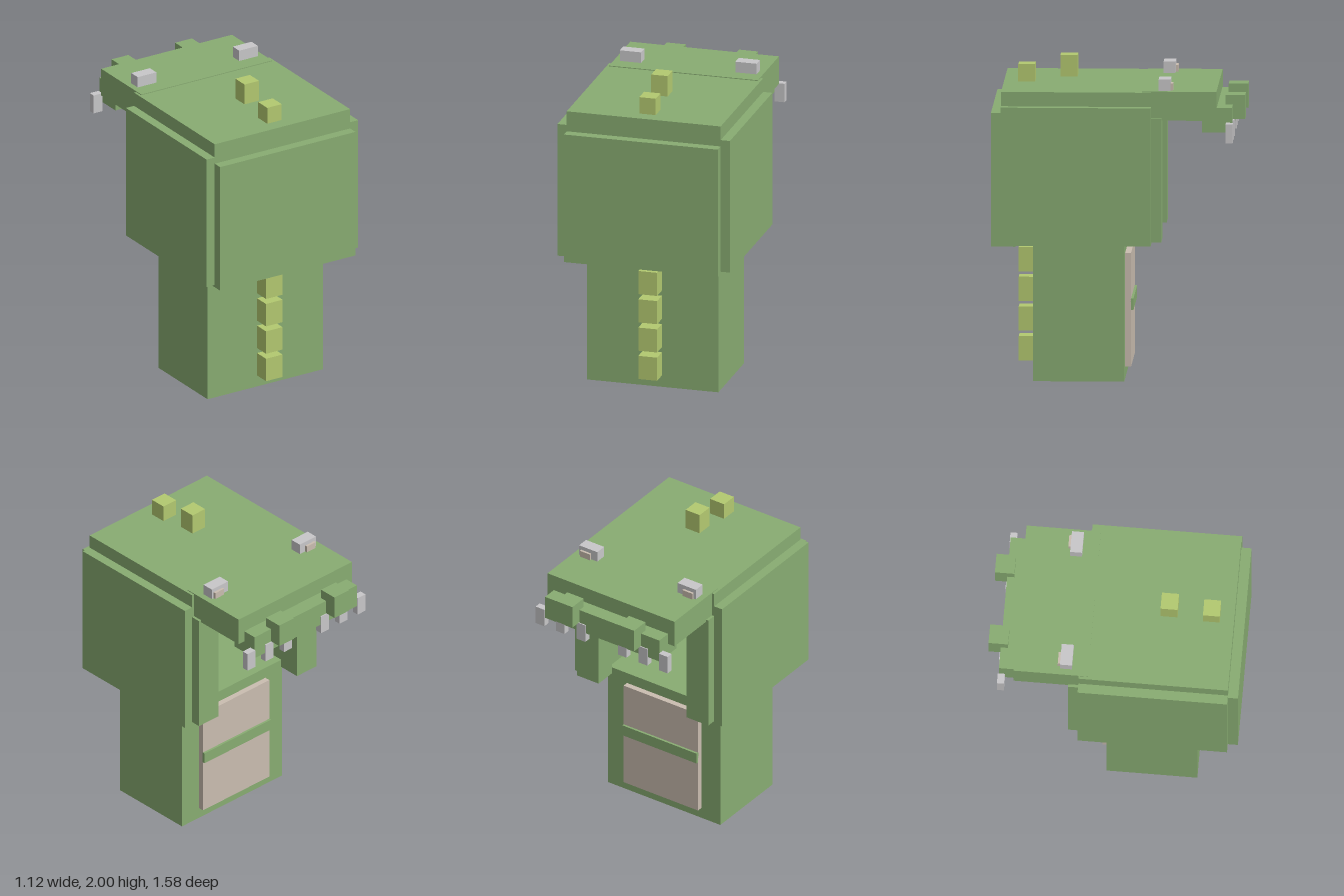
import * as THREE from 'three';

export function createModel() {
  const root = new THREE.Group();
  root.name = 'hoodedReptile';

  const paint = (name, color) => {
    const m = new THREE.MeshStandardMaterial({ color });
    m.name = name;
    return m;
  };
  const green = paint('skinGreen', 0x88ac72);
  const lime = paint('spikeLime', 0xb3c970);
  const grey = paint('toothGrey', 0xc8c7c9);
  const beige = paint('bellyBeige', 0xcabdb0);

  // Box given by its extents on each axis
  const box = (name, mat, [x0, x1], [y0, y1], [z0, z1]) => {
    const mesh = new THREE.Mesh(new THREE.BoxGeometry(x1 - x0, y1 - y0, z1 - z0), mat);
    mesh.position.set((x0 + x1) / 2, (y0 + y1) / 2, (z0 + z1) / 2);
    mesh.name = name;
    root.add(mesh);
  };
  // The same box on both sides of the middle
  const pair = (name, mat, [x0, x1], y, z) => {
    box(name + 'Left', mat, [x0, x1], y, z);
    box(name + 'Right', mat, [-x1, -x0], y, z);
  };

  // Torso with belly plate and stripe
  box('torso', green, [-0.427, 0.427], [0, 0.863], [-0.038, 0.53]);
  box('bellyPlate', beige, [-0.283, 0.283], [0.073, 0.79], [-0.075, -0.038]);
  box('bellyStripe', green, [-0.283, 0.283], [0.43, 0.503], [-0.09, -0.07]);

  // Row of spikes down the torso
  for (let i = 0; i < 4; i++) {
    const y = 0.075 + i * 0.187;
    box('torsoSpike' + (i + 1), lime, [-0.062, 0.06], [y, y + 0.153], [0.53, 0.635]);
  }

  // Hood made of thick slabs, open below and at the face
  box('hoodTop', green, [-0.5, 0.5], [1.68, 1.832], [-0.208, 0.727]);
  box('hoodPanel', green, [-0.5, 0.5], [0.857, 1.7], [0.638, 0.79]);
  pair('hoodSide', green, [0.41, 0.56], [0.872, 1.742], [-0.208, 0.727]);
  pair('hoodPillar', green, [0.335, 0.5], [0.89, 1.67], [-0.272, -0.125]);

  // Spikes on the hood, the second one floating
  box('hoodSpikeLow', lime, [-0.055, 0.052], [1.83, 1.94], [0.533, 0.638]);
  box('hoodSpikeHigh', lime, [-0.055, 0.052], [1.865, 2], [0.268, 0.375]);

  // Snout, nose and nostrils
  box('snout', green, [-0.483, 0.483], [1.655, 1.837], [-0.615, -0.15]);
  box('nose', green, [-0.435, 0.435], [1.575, 1.73], [-0.71, -0.525]);
  pair('nostril', green, [0.173, 0.297], [1.64, 1.792], [-0.787, -0.665]);

  // Eyes with pupils
  pair('eye', grey, [0.306, 0.444], [1.835, 1.907], [-0.328, -0.253]);
  pair('pupil', beige, [0.352, 0.428], [1.837, 1.88], [-0.343, -0.325]);

  // Upper teeth
  [0.157, 0.315, 0.469].forEach((x, i) =>
    pair('tooth' + (i + 1), grey, [x - 0.033, x + 0.033], [1.515, 1.637], [-0.717, -0.673]));

  return root;
}
